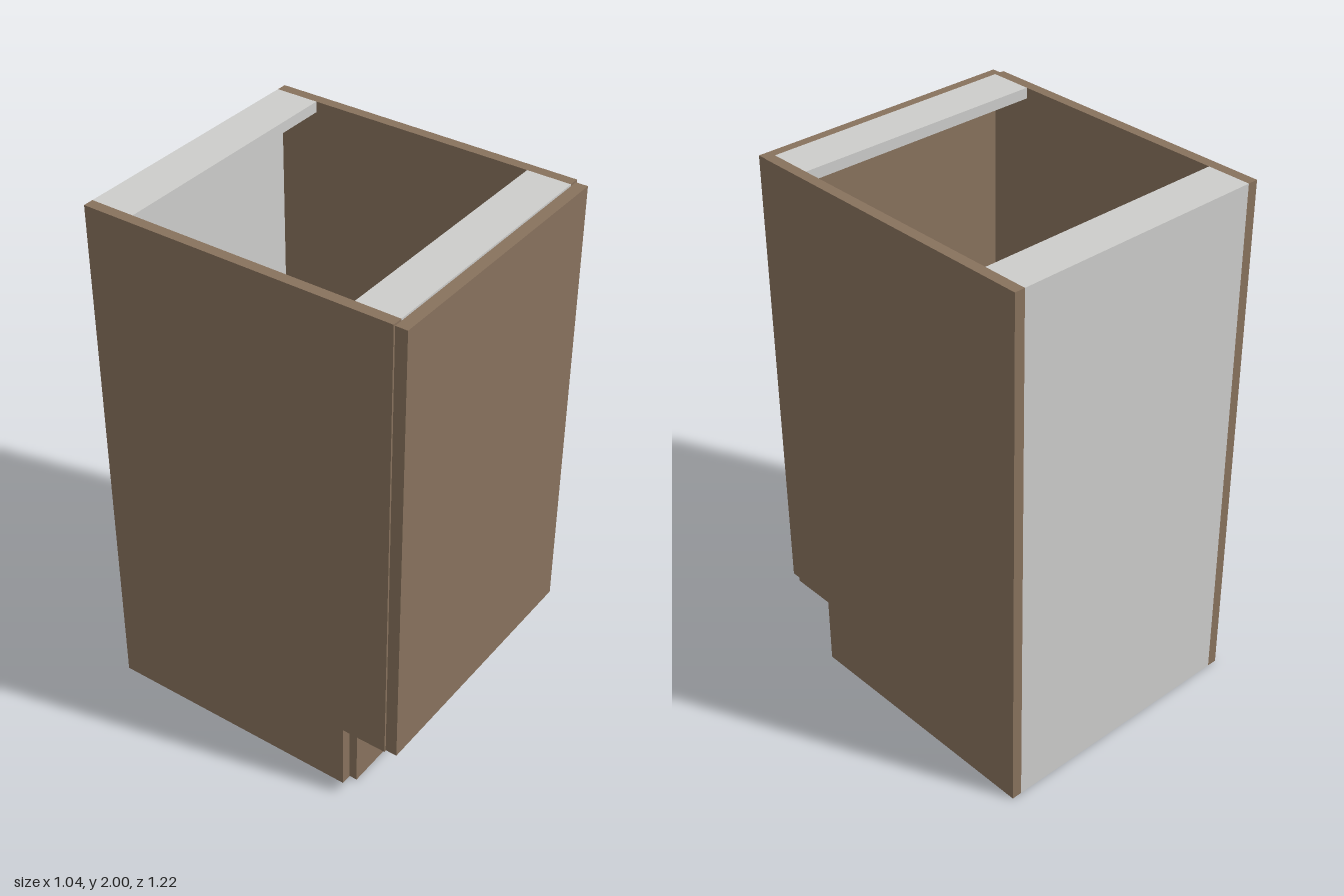
import * as THREE from 'three';

export function createModel() {
  const group = new THREE.Group();
  const wood = new THREE.MeshStandardMaterial({ color: 0x88725d });
  wood.name = 'brown wood';
  const board = new THREE.MeshStandardMaterial({ color: 0xcdcdcb });
  board.name = 'light grey board';

  // Box given by its lower and upper limits on each axis
  function panel(name, material, [x0, x1], [y0, y1], [z0, z1]) {
    const mesh = new THREE.Mesh(new THREE.BoxGeometry(x1 - x0, y1 - y0, z1 - z0), material);
    mesh.position.set((x0 + x1) / 2, (y0 + y1) / 2, (z0 + z1) / 2);
    mesh.name = name;
    group.add(mesh);
  }

  const inner = [-0.482, 0.482];
  const back = -0.608;
  const front = 0.563;
  const kickTop = 0.265;

  // Side walls, each standing on a shorter plinth side
  for (const [side, x] of [['left', [0.482, 0.521]], ['right', [-0.521, -0.482]]]) {
    panel(side + 'Side', wood, x, [kickTop, 2], [back, front]);
    panel(side + 'PlinthSide', wood, x, [0, kickTop], [back, 0.39]);
  }

  // Recessed toe kick and overlay door
  panel('toeKick', wood, [-0.48, 0.48], [0, kickTop], [0.388, 0.42]);
  panel('door', wood, [-0.515, 0.513], [0.269, 1.994], [front + 0.001, 0.608]);

  // Grey carcass: floor, back and the two top rails
  panel('floor', board, inner, [kickTop, 0.305], [back + 0.018, front]);
  panel('backPanel', board, inner, [0, 1.96], [back, back + 0.018]);
  panel('backRail', board, inner, [1.96, 2], [back, -0.442]);
  panel('frontRail', board, inner, [1.96, 2], [0.401, front]);

  return group;
}
